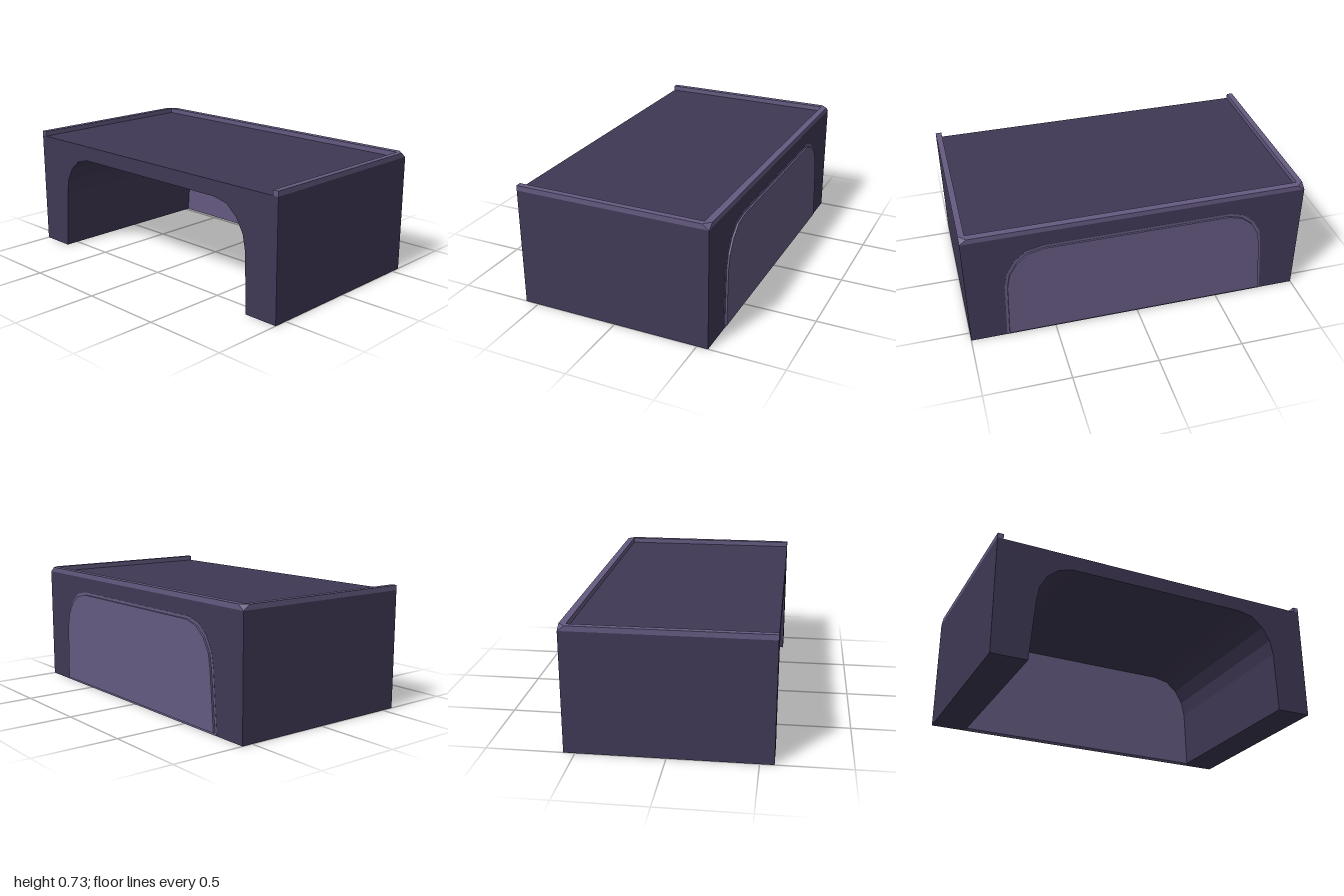
import * as THREE from 'three';

const BACK = -0.58, FRONT = 0.565, DECK = 0.7, TOP = 0.73;

// Arch outline as [z, y], from the +z foot over the top to the -z foot
const ARCH = [
  [0.79, 0], [0.78, 0.36], [0.762, 0.45], [0.715, 0.53], [0.645, 0.59], [0.55, 0.61],
  [-0.55, 0.61], [-0.635, 0.585], [-0.7, 0.53], [-0.745, 0.45], [-0.76, 0.36], [-0.79, 0],
];

// Extrudes a [z, y] outline along x between two positions
function extrudeX(points, x0, x1) {
  const shape = new THREE.Shape(points.map(([z, y]) => new THREE.Vector2(-z, y)));
  const geo = new THREE.ExtrudeGeometry(shape, { depth: x1 - x0, bevelEnabled: false });
  geo.rotateY(Math.PI / 2);
  geo.translate(x0, 0, 0);
  return geo;
}

// Solid block given by its minimum and maximum corners
function block(min, max) {
  const size = max.map((v, i) => v - min[i]);
  const geo = new THREE.BoxGeometry(...size);
  geo.translate(...max.map((v, i) => (v + min[i]) / 2));
  return geo;
}

// Rim corner: a small cube with its top outer corner cut off
function cornerGeometry(side) {
  const x0 = FRONT - 0.04, z0 = 0.96, z1 = 1;
  const a = [x0, TOP, z0], b = [x0, TOP, z1], c = [FRONT, TOP, z0], d = [FRONT, DECK, z1];
  const e = [x0, DECK, z1], f = [FRONT, DECK, z0], g = [x0, DECK, z0];
  const faces = [[a, b, c], [b, d, c], [b, e, d], [c, d, f], [a, g, e], [a, e, b], [a, c, f], [a, f, g]];
  const pos = faces.flatMap((t) => (side > 0 ? t : [t[0], t[2], t[1]]))
    .flatMap(([x, y, z]) => [x, y, z * side]);
  const geo = new THREE.BufferGeometry();
  geo.setAttribute('position', new THREE.Float32BufferAttribute(pos, 3));
  geo.computeVertexNormals();
  return geo;
}

export function createModel() {
  const group = new THREE.Group();
  const dark = new THREE.MeshStandardMaterial({ color: 0x3f3855, flatShading: true });
  const light = new THREE.MeshStandardMaterial({ color: 0x645a80, flatShading: true });
  const add = (name, geo, material) => {
    const mesh = new THREE.Mesh(geo, material);
    mesh.name = name;
    group.add(mesh);
  };

  // Body: block with an arched tunnel running through it
  add('body', extrudeX([[1, 0], ...ARCH, [-1, 0], [-1, DECK], [1, DECK]], BACK, FRONT), dark);

  // Thin wall closing the tunnel, with a raised inset plate
  add('archFrame', extrudeX(ARCH, FRONT - 0.045, FRONT + 0.001), light);
  const inset = ARCH.map(([z, y]) => [z * 0.981, 0.015 + y * 0.95]);
  add('archPanel', extrudeX(inset, FRONT, FRONT + 0.012), light);

  // Raised rim along the +x edge and both ends, open at the back
  add('longRim', block([FRONT - 0.04, DECK, -0.96], [FRONT, TOP, 0.96]), light);
  for (const side of [1, -1]) {
    const [z0, z1] = side > 0 ? [0.965, 1] : [-1, -0.965];
    add('endRim', block([BACK, DECK, z0], [FRONT - 0.04, TOP, z1]), light);
    add('rimCorner', cornerGeometry(side), light);
  }
  return group;
}
